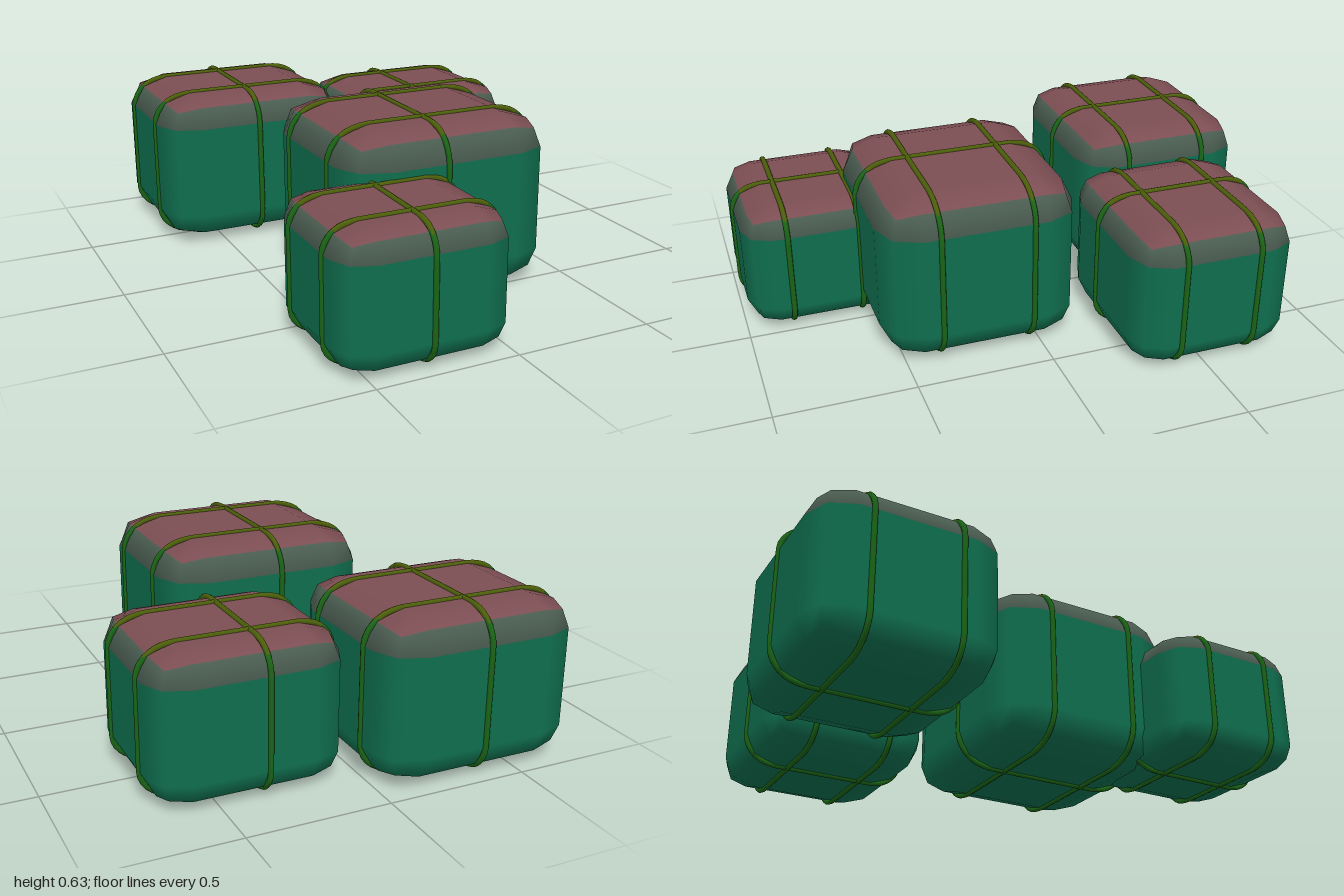
import * as THREE from 'three';
import { RoundedBoxGeometry } from 'three/addons/geometries/RoundedBoxGeometry.js';

const ROUND = 0.38; // corner radius as a share of each half size
const LIFT = 0.01; // rope thickness, also the gap under each bundle

const mat = (color) => new THREE.MeshStandardMaterial({ color });
const mats = {
  side: mat(0x0f6e4e), shoulder: mat(0x4a5c50), top: mat(0x7c4e53),
  ropeSide: mat(0x1a6416), ropeTop: mat(0x4c5e0a),
};

// Splits a geometry into bands; pick(minY, maxY) names the band of a triangle.
function splitBands(geometry, pick) {
  const g = geometry.index ? geometry.toNonIndexed() : geometry;
  const p = g.attributes.position, n = g.attributes.normal;
  const bands = {};
  for (let i = 0; i < p.count; i += 3) {
    const ys = [p.getY(i), p.getY(i + 1), p.getY(i + 2)];
    const band = (bands[pick(Math.min(...ys), Math.max(...ys))] ??= { pos: [], nor: [] });
    for (let k = i; k < i + 3; k++) {
      band.pos.push(p.getX(k), p.getY(k), p.getZ(k));
      band.nor.push(n.getX(k), n.getY(k), n.getZ(k));
    }
  }
  return Object.entries(bands).map(([key, b]) => {
    const out = new THREE.BufferGeometry();
    out.setAttribute('position', new THREE.Float32BufferAttribute(b.pos, 3));
    out.setAttribute('normal', new THREE.Float32BufferAttribute(b.nor, 3));
    return [key, out];
  });
}

function addBands(group, name, geometry, pick) {
  for (const [key, g] of splitBands(geometry, pick)) {
    const mesh = new THREE.Mesh(g, mats[key]);
    mesh.name = name + key[0].toUpperCase() + key.slice(1);
    group.add(mesh);
  }
}

// Closed rope around a rounded rectangle; place(u, v) maps it into 3D.
function ropeLoop(hu, hv, place) {
  const path = new THREE.CurvePath();
  const pts = [];
  const signs = [[1, 1], [-1, 1], [-1, -1], [1, -1]];
  signs.forEach(([su, sv], q) => {
    for (let k = 0; k <= 6; k++) {
      const a = (q + k / 6) * Math.PI / 2;
      pts.push(place(
        hu * (su * (1 - ROUND) + ROUND * Math.cos(a)),
        hv * (sv * (1 - ROUND) + ROUND * Math.sin(a))));
    }
  });
  pts.forEach((p, i) => path.add(new THREE.LineCurve3(p, pts[(i + 1) % pts.length])));
  return new THREE.TubeGeometry(path, 96, LIFT, 8, true);
}

// One soft bundle tied with one lengthwise and two crosswise ropes.
function makeBundle({ name, x, z, hx, hz, top, ropeX, ropeZ }) {
  const bundle = new THREE.Group();
  bundle.name = name;
  const hy = (top - LIFT) / 2;
  bundle.position.set(x, LIFT + hy, z);

  const body = new RoundedBoxGeometry(2, 2, 2, 1, ROUND);
  body.scale(hx, hy, hz);
  addBands(bundle, 'body', body, (lo, hi) =>
    lo > 0.8 * hy ? 'top' : hi > 0.7 * hy ? 'shoulder' : 'side');

  const ropePick = (lo, hi) => (lo + hi > 1.8 * hy ? 'ropeTop' : 'ropeSide');
  addBands(bundle, 'lengthwise',
    ropeLoop(hz, hy, (u, v) => new THREE.Vector3(ropeX - x, v, u)), ropePick);
  ropeZ.forEach((rz, i) => addBands(bundle, 'cross' + (i + 1),
    ropeLoop(hx, hy, (u, v) => new THREE.Vector3(u, v, rz - z)), ropePick));
  return bundle;
}

export function createModel() {
  const model = new THREE.Group();
  model.name = 'tiedBundles';
  const bundles = [
    { name: 'backRightBundle', x: -0.355, z: -0.655, hx: 0.365, hz: 0.333, top: 0.575, ropeX: -0.355, ropeZ: [-0.81, -0.5] },
    { name: 'backLeftBundle', x: 0.383, z: -0.53, hx: 0.335, hz: 0.303, top: 0.525, ropeX: 0.34, ropeZ: [-0.67, -0.39] },
    { name: 'largeBundle', x: 0.016, z: 0.21, hx: 0.395, hz: 0.362, top: 0.625, ropeX: -0.02, ropeZ: [0.04, 0.375] },
    { name: 'smallFrontBundle', x: -0.295, z: 0.705, hx: 0.302, hz: 0.28, top: 0.475, ropeX: -0.295, ropeZ: [0.57, 0.83] },
  ];
  for (const b of bundles) model.add(makeBundle(b));
  return model;
}
